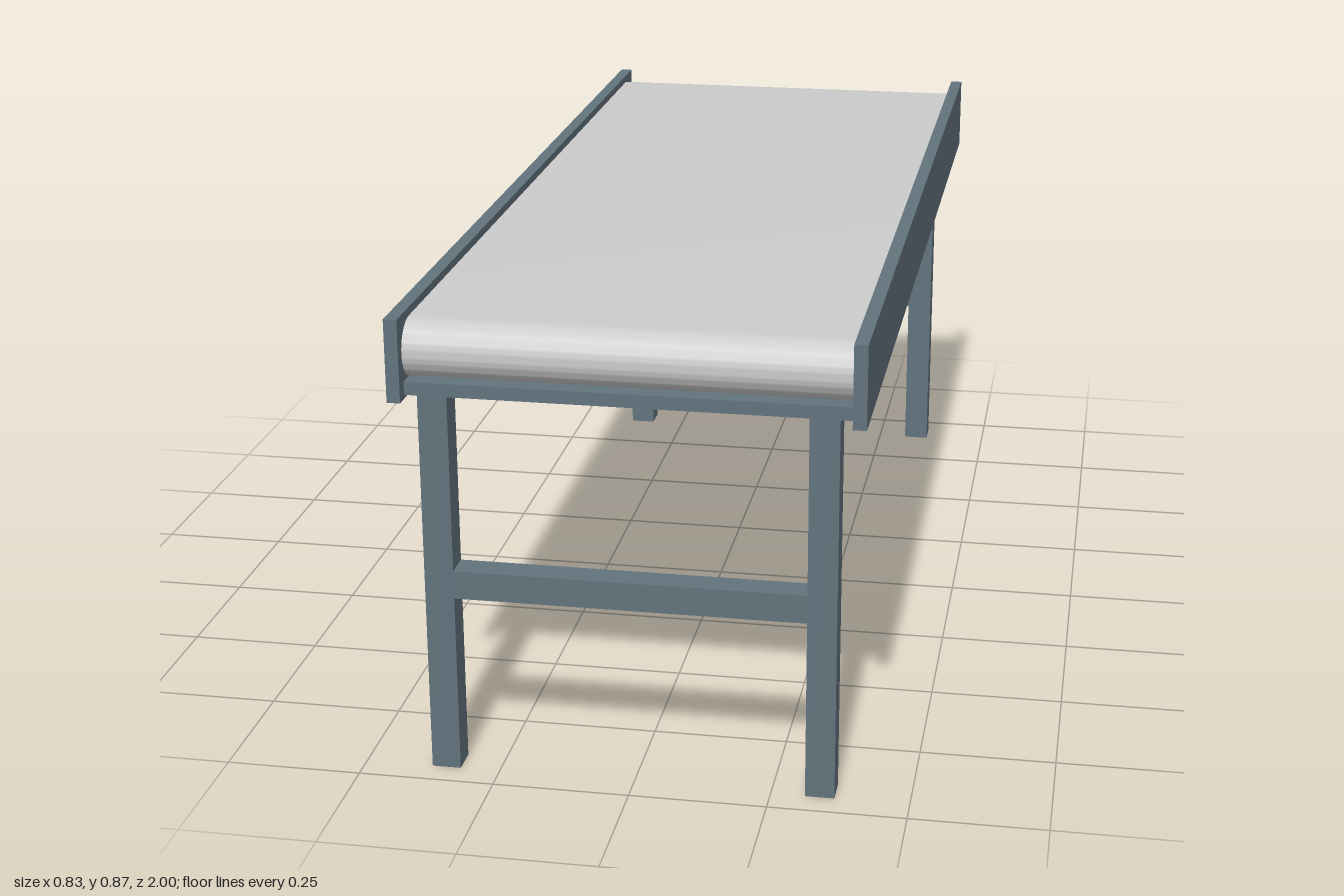
import * as THREE from 'three';
import { toCreasedNormals } from 'three/addons/utils/BufferGeometryUtils.js';

export function createModel() {
  const model = new THREE.Group();
  model.name = 'conveyorTable';
  const steel = new THREE.MeshStandardMaterial({ color: 0x62737d });
  const rubber = new THREE.MeshStandardMaterial({ color: 0xcccccc });

  // Box given by its minimum and maximum corners
  const box = (name, [x0, y0, z0], [x1, y1, z1]) => {
    const mesh = new THREE.Mesh(new THREE.BoxGeometry(x1 - x0, y1 - y0, z1 - z0), steel);
    mesh.position.set((x0 + x1) / 2, (y0 + y1) / 2, (z0 + z1) / 2);
    mesh.name = name;
    model.add(mesh);
  };

  // Belt: a long loop with rounded ends, extruded across the width
  const radius = 0.053, reach = 0.98 - radius, width = 0.783;
  const loop = new THREE.Shape();
  loop.moveTo(-reach, -radius);
  loop.lineTo(reach, -radius);
  loop.absarc(reach, 0, radius, -Math.PI / 2, Math.PI / 2, false);
  loop.lineTo(-reach, radius);
  loop.absarc(-reach, 0, radius, Math.PI / 2, Math.PI * 1.5, false);
  const beltGeometry = new THREE.ExtrudeGeometry(loop, { depth: width, bevelEnabled: false, curveSegments: 16 });
  beltGeometry.translate(0, 0, -width / 2).rotateY(Math.PI / 2);
  const belt = new THREE.Mesh(toCreasedNormals(beltGeometry, 0.6), rubber);
  belt.name = 'belt';
  belt.position.y = 0.806;
  model.add(belt);

  // Side rails
  box('leftRail', [0.391, 0.723, -1], [0.415, 0.874, 1]);
  box('rightRail', [-0.415, 0.723, -1], [-0.391, 0.874, 1]);

  // Flat cross members under the belt
  for (const z of [-0.915, 0, 0.915]) {
    box('crossMember', [-0.391, 0.73, z - 0.06], [0.391, 0.754, z + 0.06]);
  }

  // Leg frames: two posts joined by a brace
  for (const [end, z0, z1] of [['front', 0.897, 0.95], ['back', -0.944, -0.891]]) {
    box(end + 'RightLeg', [-0.376, 0, z0], [-0.323, 0.731, z1]);
    box(end + 'LeftLeg', [0.312, 0, z0], [0.365, 0.731, z1]);
    box(end + 'Brace', [-0.323, 0.339, z0], [0.312, 0.392, z1]);
  }
  return model;
}
